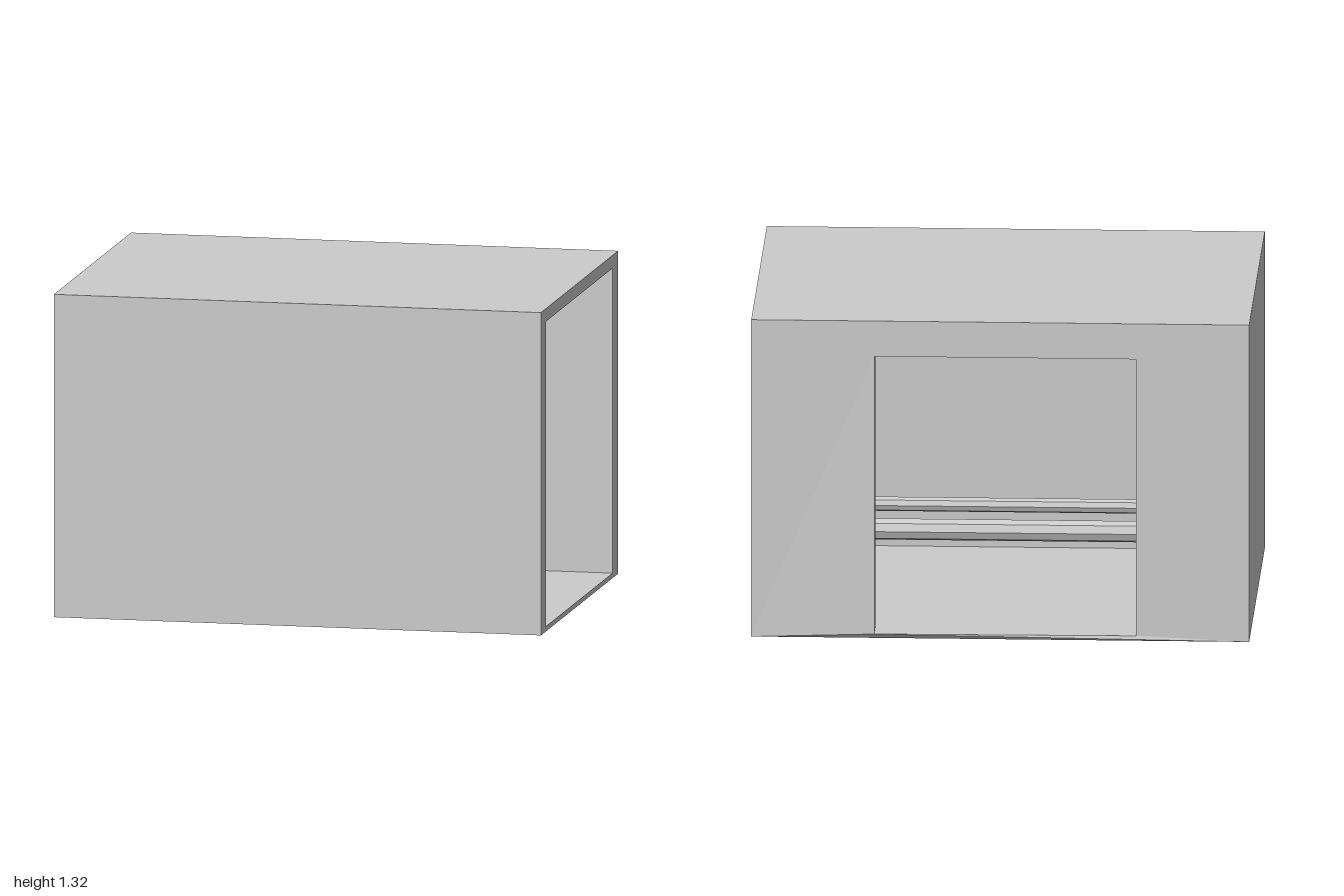
import * as THREE from 'three';

const material = new THREE.MeshStandardMaterial({ color: 0xcccccc, flatShading: true, side: THREE.DoubleSide });

const H = 1.315, FRONT = 0.74, BACK = -0.725;          // outer size
const INNER_FRONT = 0.64, INNER_BACK = -0.62;          // inner wall faces
const FLOOR = 0.02, CEILING = 1.262, END = -0.845;     // floor, ceiling, closed end

export function createModel() {
  const group = new THREE.Group();
  const add = (name, geometry, x = 0, y = 0, z = 0) => {
    const mesh = new THREE.Mesh(geometry, material);
    mesh.name = name;
    mesh.position.set(x, y, z);
    group.add(mesh);
    return mesh;
  };
  const polygon = (points) => new THREE.Shape(points.map(([x, y]) => new THREE.Vector2(x, y)));

  // Floor, front wall and roof as one C-shaped section run along x
  const section = polygon([
    [-FRONT, 0], [-INNER_BACK, 0], [-INNER_BACK, FLOOR], [-INNER_FRONT, FLOOR],
    [-INNER_FRONT, CEILING], [-INNER_BACK, CEILING], [-INNER_BACK, H], [-FRONT, H],
  ]);
  const shell = new THREE.ExtrudeGeometry(section, { depth: 1 - END, bevelEnabled: false });
  shell.rotateY(Math.PI / 2);
  add('shell', shell, END);

  // Closed end wall
  add('endWall', new THREE.BoxGeometry(1 + END, H, FRONT - INNER_BACK),
    (END - 1) / 2, H / 2, (FRONT + INNER_BACK) / 2);

  // Back wall with a doorway; one lower door corner sits slightly proud
  const wall = polygon([[-1, 0], [1, 0], [1, H], [-1, H]]);
  wall.holes.push(polygon([[-0.545, FLOOR], [-0.545, 1.168], [0.505, 1.168], [0.505, FLOOR]]));
  const backWall = new THREE.ExtrudeGeometry(wall, { depth: INNER_BACK - BACK, bevelEnabled: false });
  const p = backWall.attributes.position;
  for (let i = 0; i < p.count; i++) {
    if (Math.abs(p.getX(i) - 0.505) < 0.01 && p.getY(i) < 0.1 && p.getZ(i) < 0.01) p.setZ(i, -0.016);
  }
  backWall.computeVertexNormals();
  add('backWall', backWall, 0, 0, BACK);

  // Octagonal pipes with wider collars along the front wall
  const half = 0.84, collar = 0.04;
  const pipe = (name, r, y, z) => {
    const body = r * 0.72;
    const profile = [
      [0, -half], [r, -half], [r, collar - half], [body, collar - half],
      [body, half - collar], [r, half - collar], [r, half], [0, half],
    ].map(([a, b]) => new THREE.Vector2(a, b));
    const geometry = new THREE.LatheGeometry(profile, 8);
    geometry.rotateZ(-Math.PI / 2);
    add(name, geometry, 0, y, z);
  };
  pipe('upperLargePipe', 0.068, 1.125, 0.562);
  pipe('upperSmallPipe', 0.028, 1.21, 0.43);
  pipe('lowerSmallPipe', 0.041, 0.205, 0.6);
  pipe('lowerLargePipe', 0.061, 0.112, 0.556);

  // Flared five-sided ceiling lamp
  const lamp = add('ceilingLamp', new THREE.CylinderGeometry(0.092, 0.17, CEILING - 1.165, 5),
    -0.02, (CEILING + 1.165) / 2, 0.01);
  lamp.rotation.y = -Math.PI / 2;

  return group;
}
